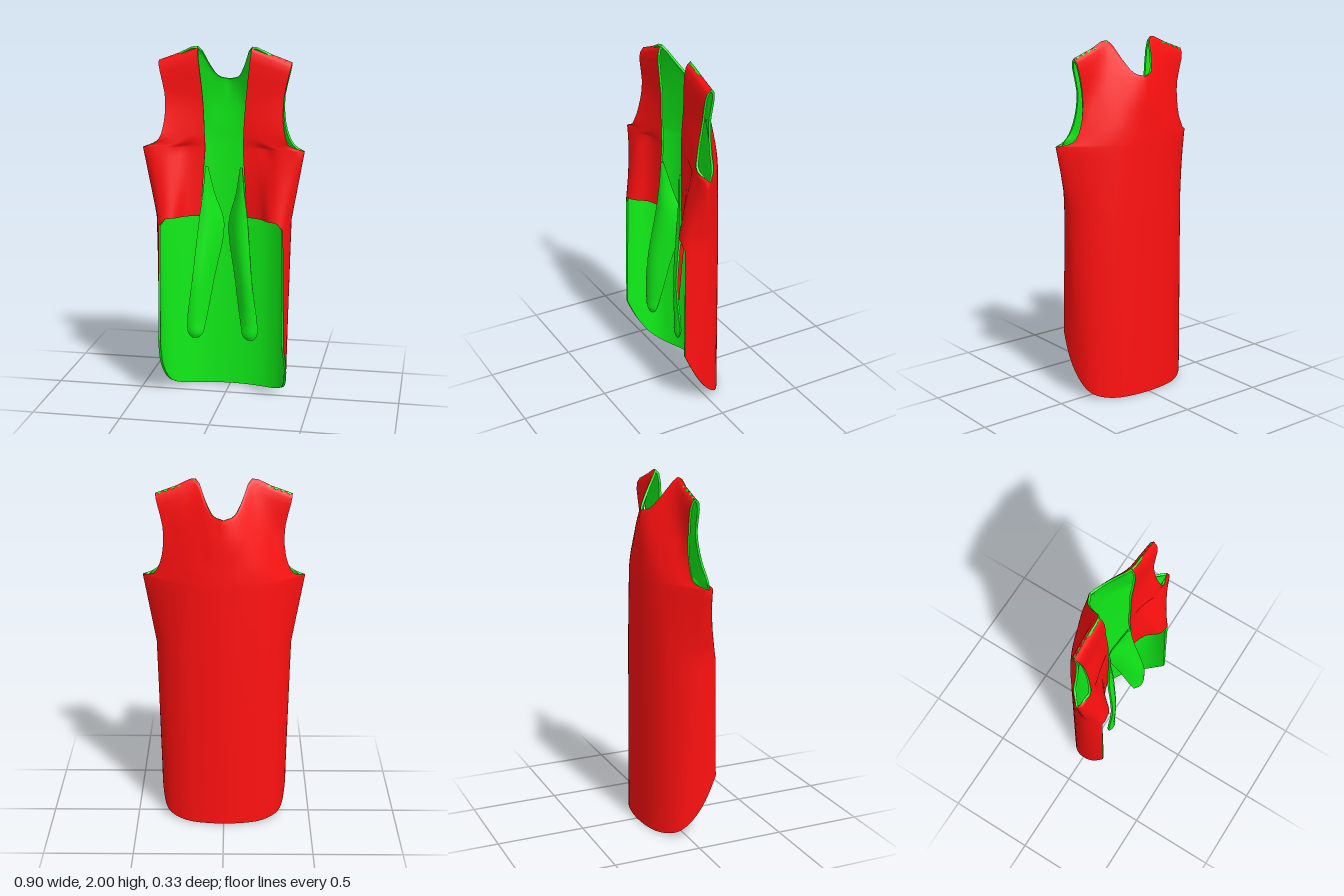
import * as THREE from 'three';
import { mergeVertices } from 'three/addons/utils/BufferGeometryUtils.js';

const V = (x, y, z) => new THREE.Vector3(x, y, z);
const RED = new THREE.MeshStandardMaterial({ color: 0xff1010 });
const GREEN = new THREE.MeshStandardMaterial({ color: 0x10ee18 });
const THICKNESS = 0.012;
const K = 3; // samples per section segment
const SIDE = 5 * K, EDGE = 7 * K; // column of the side seam, column of the tail's front edge

// Smooth (x, z) section from the centre back round to the front.
function section(points) {
  const curve = new THREE.SplineCurve(points.map(([x, z]) => new THREE.Vector2(x, z)));
  return curve.getPoints((points.length - 1) * K);
}
const chest = section([[0, -.155], [.1, -.148], [.2, -.12], [.29, -.07], [.37, -.01], [.45, .07],
  [.425, .1], [.37, .1], [.3, .09], [.24, .06], [.18, .055], [.105, .05]]);
const waist = section([[0, -.16], [.11, -.15], [.22, -.12], [.29, -.075], [.345, -.02], [.38, .05],
  [.37, .11], [.345, .16], [.3, .165], [.26, .15], [.21, .09], [.13, .06]]);
const tail = section([[0, -.165], [.1, -.158], [.2, -.135], [.28, -.09], [.33, -.04], [.355, .03],
  [.365, .1], [.358, .165]]);

const chestRow = chest.map((p) => V(p.x, 1.445, p.y));
// The front hem dips where it meets the tail.
const waistRow = waist.map((p, i) => V(p.x, 1.06 - .04 * Math.exp(-(((i - EDGE) / 1.5) ** 2)), p.y));
const hemRow = tail.map((p) => V(p.x, .35 * Math.max(0, (p.y + .165) / .33) ** 2.3, p.y));

// Straight rows between two border rows.
function blend(top, bottom, n) {
  return Array.from({ length: n + 1 }, (_, r) => bottom.map((p, i) => top[i].clone().lerp(p, r / n)));
}

// Smooth columns through a stack of rows.
function loft(rows, n) {
  const columns = rows[0].map((_, i) => new THREE.CatmullRomCurve3(rows.map((r) => r[i])).getPoints(n));
  return Array.from({ length: n + 1 }, (_, r) => columns.map((c) => c[r]));
}

// Upper back, from the neckline and shoulder down to the armhole bottom.
function upperBack() {
  const rows = [
    [[0, 1.81, -.13], [.06, 1.83, -.1], [.1, 1.9, -.05], [.15, 2, .02], [.26, 1.96, .02], [.37, 1.92, .02]],
    [[0, 1.78, -.136], [.06, 1.8, -.112], [.105, 1.87, -.065], [.155, 1.97, 0], [.26, 1.93, 0], [.365, 1.89, 0]],
    [[0, 1.68, -.145], [.07, 1.69, -.135], [.14, 1.7, -.1], [.21, 1.72, -.052], [.27, 1.72, -.015], [.33, 1.72, 0]],
    [[0, 1.55, -.15], [.08, 1.55, -.144], [.17, 1.55, -.12], [.25, 1.55, -.073], [.3, 1.56, -.032], [.343, 1.56, 0]],
    [[0, 1.49, -.153], [.09, 1.49, -.147], [.19, 1.49, -.12], [.275, 1.49, -.071], [.335, 1.485, -.025], [.383, 1.475, .012]],
  ].map((row) => {
    const curve = new THREE.CatmullRomCurve3(row.map((p) => V(...p)), false, 'catmullrom', .5);
    return curve.getPoints(SIDE);
  });
  return loft([...rows, chestRow.slice(0, SIDE + 1)], 16);
}

// Upper front, each row running from the armhole to the opening.
function upperFront() {
  const target = chestRow.slice(SIDE), n = target.length - 1;
  const rows = [
    [V(.37, 1.92, .02), V(.15, 2, .02)],
    [V(.365, 1.89, .045), V(.147, 1.97, .045)],
    [V(.33, 1.72, .052), V(.12, 1.72, .045)],
    [V(.335, 1.57, .08), V(.11, 1.57, .05)],
    [V(.365, 1.483, .1), V(.107, 1.49, .05)],
  ].map(([a, b]) => target.map((_, i) => a.clone().lerp(b, i / n)));
  return loft([...rows, target], 16);
}

// Hanging tie: pairs of inner and outer edge points, lining turned to the front.
function tie() {
  const pairs = [
    [V(.1, 1.34, .044), V(.104, 1.34, .047)],
    [V(.07, 1.18, .005), V(.117, 1.2, .052)],
    [V(.022, 1, -.03), V(.137, 1.04, .062)],
    [V(.068, .7, .025), V(.17, .7, .105)],
    [V(.108, .45, .07), V(.198, .45, .1)],
    [V(.122, .385, .085), V(.194, .395, .098)],
    [V(.15, .362, .09), V(.172, .362, .095)],
  ];
  const rows = pairs.map(([a, b]) => Array.from({ length: 7 }, (_, i) => {
    const p = a.clone().lerp(b, i / 6);
    p.z += .22 * a.distanceTo(b) * Math.sin(Math.PI * i / 6);
    return p;
  }));
  return loft(rows, 30);
}

// Welds sheets and their mirror images into one smooth surface.
function weld(sheets) {
  const pos = [];
  const tri = (a, b, c) => {
    for (const p of [a, b, c]) pos.push(p.x, p.y, p.z);
    for (const p of [a, c, b]) pos.push(-p.x, p.y, p.z);
  };
  for (const rows of sheets) {
    for (let r = 0; r + 1 < rows.length; r++) {
      for (let c = 0; c + 1 < rows[r].length; c++) {
        tri(rows[r][c], rows[r][c + 1], rows[r + 1][c]);
        tri(rows[r][c + 1], rows[r + 1][c + 1], rows[r + 1][c]);
      }
    }
  }
  let geo = new THREE.BufferGeometry();
  geo.setAttribute('position', new THREE.Float32BufferAttribute(pos, 3));
  geo = mergeVertices(geo, 1e-4);
  geo.computeVertexNormals();
  return geo;
}

// Cloth with a red face, a green lining and a green border on every open edge.
function cloth(name, sheets) {
  const outer = weld(sheets);
  const p = outer.attributes.position, n = outer.attributes.normal, index = Array.from(outer.index.array);
  const at = (i, d) => V().fromBufferAttribute(n, i).multiplyScalar(d).add(V().fromBufferAttribute(p, i));

  const inner = new THREE.BufferGeometry();
  const innerPoints = Array.from({ length: p.count }, (_, i) => at(i, -THICKNESS));
  inner.setFromPoints(innerPoints);
  const flipped = [];
  const edges = new Set();
  for (let i = 0; i < index.length; i += 3) {
    const [a, b, c] = index.slice(i, i + 3);
    flipped.push(a, c, b);
    edges.add(`${a},${b}`).add(`${b},${c}`).add(`${c},${a}`);
  }
  inner.setIndex(flipped);
  inner.computeVertexNormals();

  const rim = [];
  for (const edge of edges) {
    const [a, b] = edge.split(',').map(Number);
    if (a === b || edges.has(`${b},${a}`)) continue;
    const [oa, ob, ia, ib] = [at(a, .001), at(b, .001), innerPoints[a], innerPoints[b]];
    rim.push(ob, oa, ia, ob, ia, ib);
  }
  const border = new THREE.BufferGeometry().setFromPoints(rim);
  border.computeVertexNormals();

  const group = new THREE.Group();
  group.name = name;
  const add = (part, geo, mat) => {
    const mesh = new THREE.Mesh(geo, mat);
    mesh.name = name + part;
    group.add(mesh);
  };
  add('Outside', outer, RED);
  add('Lining', inner, GREEN);
  add('Border', border, GREEN);
  return group;
}

export function createModel() {
  const model = new THREE.Group();
  model.name = 'longTailedVest';
  model.add(cloth('vestBody', [
    upperBack(),
    upperFront(),
    blend(chestRow, waistRow, 8), // midriff
    blend(waistRow, hemRow, 12), // long tail
  ]));
  model.add(cloth('frontTies', [tie()]));
  return model;
}
